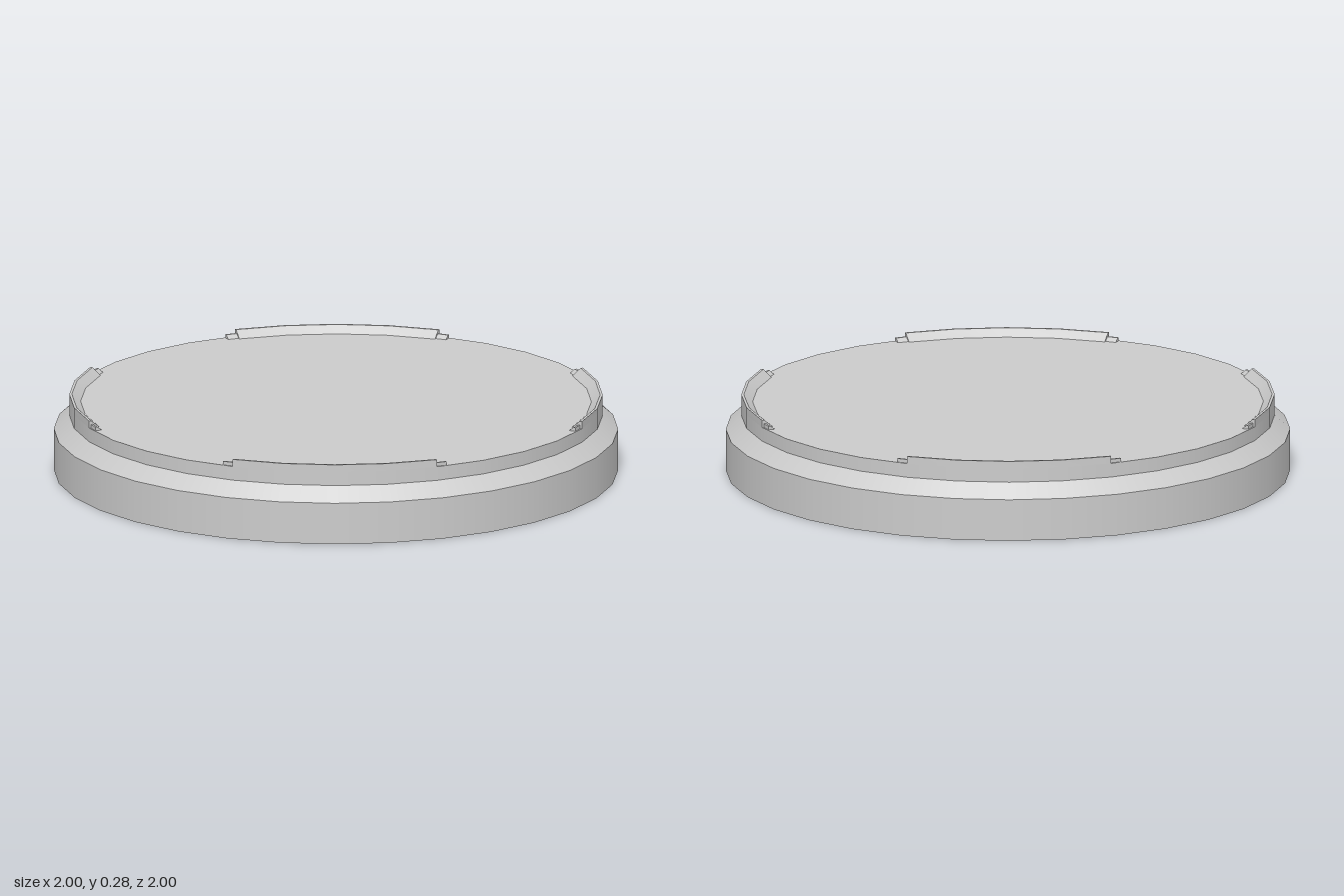
import * as THREE from 'three';
import { toCreasedNormals } from 'three/addons/utils/BufferGeometryUtils.js';

const SIDES = 32;
const STEP = (Math.PI * 2) / SIDES;
const material = new THREE.MeshStandardMaterial({ color: 0xcccccc, side: THREE.DoubleSide });

function addMesh(parent, name, geometry) {
  const mesh = new THREE.Mesh(geometry, material);
  mesh.name = name;
  parent.add(mesh);
  return mesh;
}

// Open ring of wall between two heights
function band(rBottom, rTop, y0, y1) {
  return new THREE.CylinderGeometry(rTop, rBottom, y1 - y0, SIDES, 1, true).translate(0, (y0 + y1) / 2, 0);
}

// Sweeps a [radius, height] section around y through the given angles, with closed ends
function arcSweep(section, angles) {
  const n = section.length;
  const positions = [];
  const index = [];
  for (const a of angles) {
    for (const [r, y] of section) positions.push(r * Math.sin(a), y, r * Math.cos(a));
  }
  for (let i = 0; i < angles.length - 1; i++) {
    for (let j = 0; j < n; j++) {
      const a = i * n + j;
      const b = i * n + ((j + 1) % n);
      index.push(a, a + n, b, b, a + n, b + n);
    }
  }
  const last = (angles.length - 1) * n;
  for (let j = 1; j < n - 1; j++) {
    index.push(0, j, j + 1, last, last + j + 1, last + j);
  }
  const geometry = new THREE.BufferGeometry();
  geometry.setAttribute('position', new THREE.Float32BufferAttribute(positions, 3));
  geometry.setIndex(index);
  return toCreasedNormals(geometry, 0.5);
}

export function createModel() {
  const model = new THREE.Group();
  model.name = 'lid';

  // Thin hollow shell, open underneath
  addMesh(model, 'skirt', band(1, 1, 0, 0.15));
  addMesh(model, 'shoulder', band(1, 0.945, 0.15, 0.2));
  addMesh(model, 'collar', band(0.945, 0.945, 0.2, 0.25));
  // Rotated so that its corners meet the collar
  addMesh(model, 'topDisc', new THREE.CircleGeometry(0.945, SIDES).rotateX(-Math.PI / 2).translate(0, 0.25, 0));

  // Four stacking ridges, each with a bevelled inside and a lower step at both ends
  const ridgeSection = [[0.945, 0.25], [0.945, 0.276], [0.936, 0.276], [0.905, 0.25]];
  const stepSection = [[0.938, 0.25], [0.938, 0.263], [0.93, 0.263], [0.913, 0.25]];
  const ridgeAngles = [-2, -1, 0, 1, 2].map((i) => i * STEP);
  const stepEnd = 2.22 * STEP;
  for (let i = 0; i < 4; i++) {
    const ridge = new THREE.Group();
    ridge.name = 'stackingRidge';
    addMesh(ridge, 'ridge', arcSweep(ridgeSection, ridgeAngles));
    addMesh(ridge, 'leftStep', arcSweep(stepSection, [2 * STEP, stepEnd]));
    addMesh(ridge, 'rightStep', arcSweep(stepSection, [-stepEnd, -2 * STEP]));
    ridge.rotation.y = (i * Math.PI) / 2;
    model.add(ridge);
  }
  return model;
}
